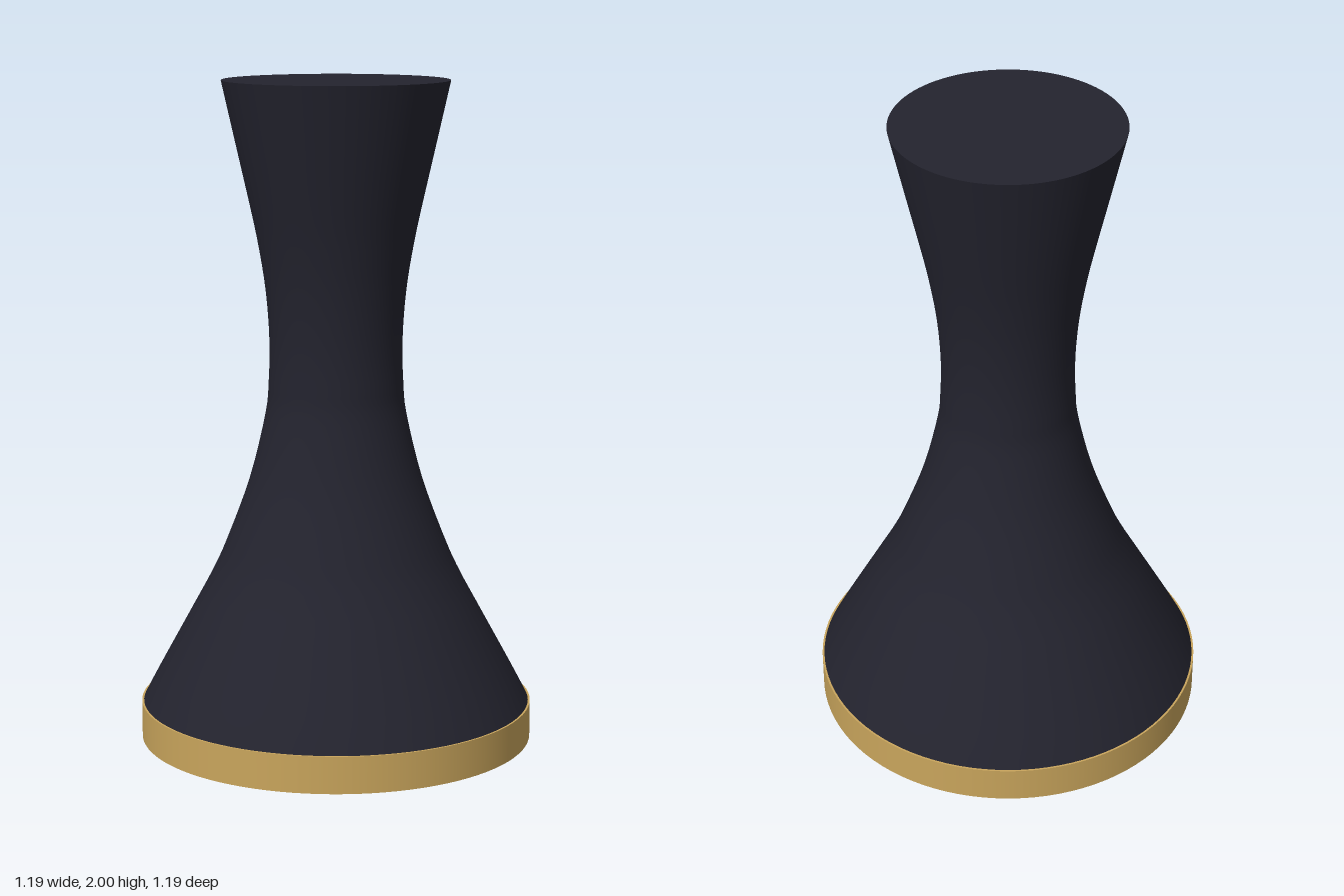
import * as THREE from 'three';

const SEGMENTS = 96;

export function createModel() {
  const dark = new THREE.MeshStandardMaterial({ color: 0x23232e });
  dark.name = 'midnight';
  const gold = new THREE.MeshStandardMaterial({ color: 0xc9a55c });
  gold.name = 'gold';

  const group = new THREE.Group();
  group.name = 'flaredPedestal';
  const add = (name, geometry, material, y = 0) => {
    const mesh = new THREE.Mesh(geometry, material);
    mesh.name = name;
    mesh.position.y = y;
    group.add(mesh);
    return mesh;
  };

  // Waisted body: wide skirt, narrow neck, flared top
  const profile = new THREE.SplineCurve([
    [0.592, 0.11], [0.545, 0.2], [0.436, 0.4], [0.382, 0.5], [0.336, 0.6],
    [0.262, 0.8], [0.213, 1.0], [0.203, 1.1], [0.2, 1.2], [0.204, 1.3],
    [0.214, 1.4], [0.23, 1.5], [0.25, 1.6], [0.295, 1.8], [0.34, 2.0],
  ].map(([r, y]) => new THREE.Vector2(r, y)));
  add('body', new THREE.LatheGeometry(profile.getPoints(56), SEGMENTS), dark);

  // Flat top closing the body
  const top = new THREE.CircleGeometry(0.34, SEGMENTS);
  top.rotateX(-Math.PI / 2);
  add('topCap', top, dark, 2);

  // Solid gold base disc
  add('baseBand', new THREE.CylinderGeometry(0.597, 0.597, 0.112, SEGMENTS), gold, 0.056);

  return group;
}
